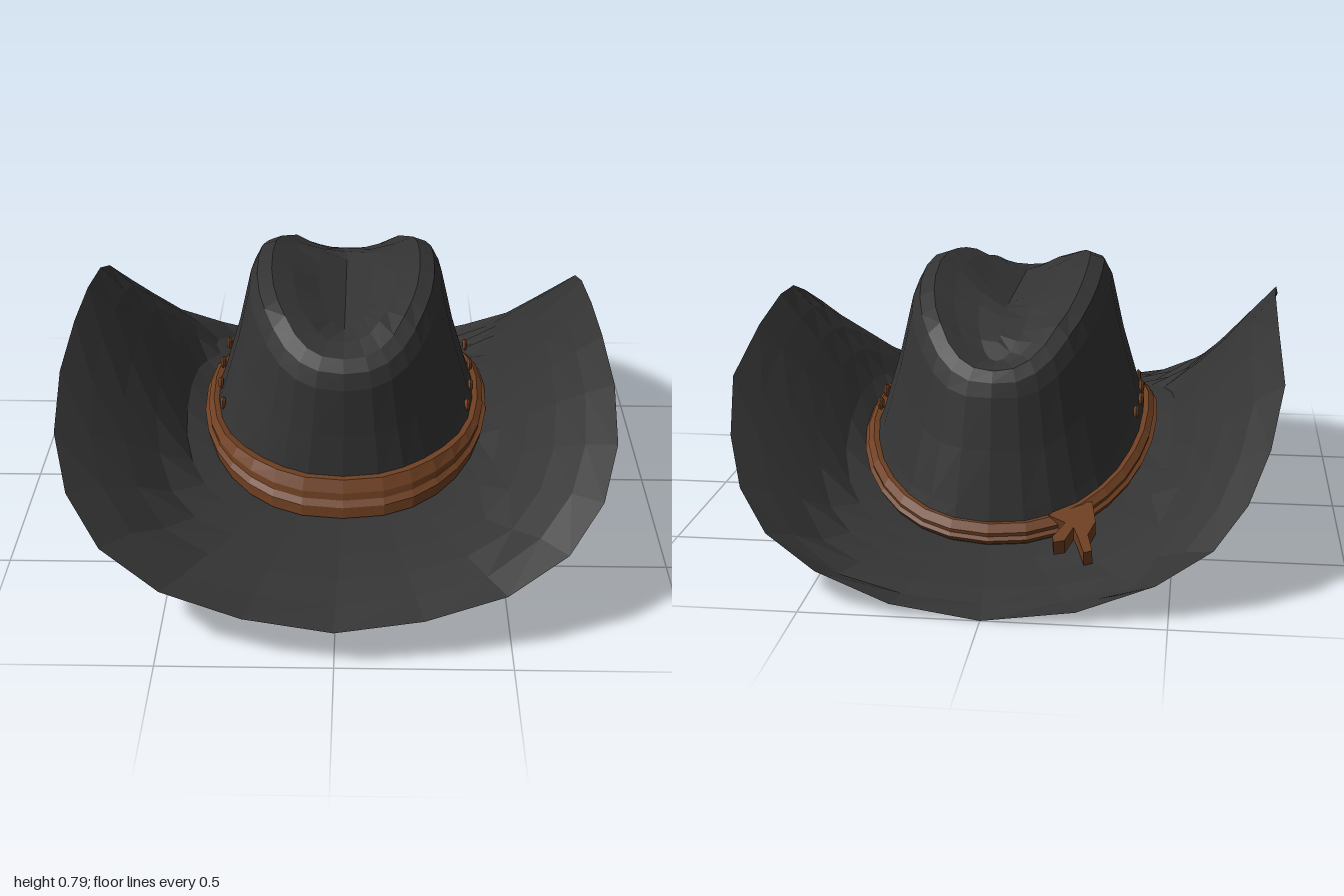
import * as THREE from 'three';

const N = 32; // points round every ring
const { lerp, smoothstep } = THREE.MathUtils;

// Piecewise-linear lookup; knots are [z, value] from front to back
function along(knots, z) {
  if (z >= knots[0][0]) return knots[0][1];
  for (let i = 1; i < knots.length; i++) {
    const [z0, y0] = knots[i - 1], [z1, y1] = knots[i];
    if (z >= z1) return lerp(y0, y1, (z - z0) / (z1 - z0));
  }
  return knots[knots.length - 1][1];
}

// Outer brim edge, front to back on the +x side: x, y, z
const EDGE = [
  [0, 0.12, 1], [0.25, 0.14, 0.97], [0.48, 0.19, 0.92], [0.65, 0.28, 0.85], [0.75, 0.39, 0.75],
  [0.8, 0.49, 0.6], [0.81, 0.575, 0.4], [0.795, 0.635, 0.2], [0.785, 0.65, 0], [0.787, 0.61, -0.25],
  [0.8, 0.515, -0.5], [0.76, 0.39, -0.68], [0.7, 0.28, -0.81], [0.61, 0.18, -0.89],
  [0.46, 0.1, -0.95], [0.25, 0.03, -0.985], [0, 0, -1],
];
const EDGE_X = EDGE.map(([x, , z]) => [z, x]);
const EDGE_Y = EDGE.map(([, y, z]) => [z, y]);
// Centre line of the underside and the ridge of the crown
const UNDER = [
  [1, 0.12], [0.93, 0.125], [0.55, 0.165], [0.25, 0.2], [0, 0.2],
  [-0.3, 0.16], [-0.55, 0.1], [-0.8, 0.03], [-0.95, 0.005], [-1, 0],
];
const RIDGE = [[0.49, 0.64], [0.3, 0.76], [0.1, 0.79], [-0.05, 0.79], [-0.25, 0.76], [-0.45, 0.68], [-0.6, 0.56]];
const THICK = 0.04;
const FOLD = 0.47; // where the sides of the brim start to curl up

const curl = (x, y) => (x < 0 ? y * (1 + 0.09 * y) : y); // right side rises a little higher
const ridgeY = (x, z) => along(RIDGE, z);

// Underside: shallow trough in the middle, straight rise from the fold to the edge
function underY(x, z) {
  const ax = Math.abs(x);
  const trough = along(UNDER, z) + 0.25 * Math.min(ax, FOLD) ** 2;
  if (ax <= FOLD) return trough;
  const t = Math.min(1, (ax - FOLD) / Math.max(0.01, along(EDGE_X, z) - FOLD));
  return lerp(trough, curl(x, along(EDGE_Y, z)), t);
}
const seatY = (x, z) => underY(x, z) + THICK;

// Oval from half width, front z and back z; starts at the front, towards +x
function ring(halfWidth, front, back, yFn) {
  const pts = [];
  for (let j = 0; j < N; j++) {
    const a = (j / N) * Math.PI * 2;
    const power = Math.cos(a) > 0 ? 0.8 : 0.86;
    const bend = (v) => Math.sign(v) * Math.pow(Math.abs(v), power);
    const x = 0.018 + halfWidth * bend(Math.sin(a));
    const z = (front + back) / 2 + ((front - back) / 2) * bend(Math.cos(a));
    pts.push(new THREE.Vector3(x, yFn(x, z), z));
  }
  return pts;
}

// Faceted skin over a stack of rings
function loft(rings) {
  const pos = [], idx = [];
  rings.forEach((r) => r.forEach((p) => pos.push(p.x, p.y, p.z)));
  for (let i = 0; i < rings.length - 1; i++) {
    for (let j = 0; j < N; j++) {
      const a = i * N + j, b = i * N + ((j + 1) % N);
      idx.push(a, b, b + N, a, b + N, a + N);
    }
  }
  const g = new THREE.BufferGeometry();
  g.setAttribute('position', new THREE.Float32BufferAttribute(pos, 3));
  g.setIndex(idx);
  return facet(g);
}

function facet(g) {
  const flat = g.toNonIndexed();
  flat.computeVertexNormals();
  return flat;
}

function brimGeometry() {
  const edge = EDGE.map((p) => new THREE.Vector3(...p));
  for (let i = EDGE.length - 2; i > 0; i--) {
    const [x, y, z] = EDGE[i];
    edge.push(new THREE.Vector3(-x - 0.005, curl(-x, y), z));
  }
  const seat = ring(0.43, 0.53, -0.7, underY);
  const between = (t, thick) => seat.map((p, j) => {
    const q = p.clone().lerp(edge[j], t);
    q.y = underY(q.x, q.z) + thick;
    return q;
  });
  const steps = [0, 0.2, 0.4, 0.6, 0.8];
  return loft([
    ring(0, 0.25, -0.45, underY),
    ring(0.25, 0.4, -0.58, underY),
    ...steps.map((t) => between(t, 0)),
    edge,
    ...steps.reverse().map((t) => between(t, THICK * (1 - t * t))),
  ]);
}

function crownGeometry() {
  const wall = (t) => (x, z) => lerp(seatY(x, z), ridgeY(x, z), t);
  const dent = (x, z) => Math.min(ridgeY(x, z) - 0.045, 0.69 + 0.4 * Math.abs(x - 0.018));
  return loft([
    ring(0.43, 0.52, -0.7, wall(0)),
    ring(0.393, 0.51, -0.68, wall(0.2)),
    ring(0.34, 0.495, -0.645, wall(0.55)),
    ring(0.3, 0.485, -0.618, wall(0.88)),
    ring(0.275, 0.47, -0.605, wall(0.97)),
    ring(0.23, 0.44, -0.58, wall(1)),
    ring(0.165, 0.37, -0.54, (x, z) => ridgeY(x, z) - 0.025),
    ring(0.085, 0.28, -0.51, dent),
    ring(0, 0.2, -0.48, dent),
  ]);
}

// Two-tier band, tall in front and narrow round the sides and back
function bandGeometry() {
  const above = (h) => (x, z) => seatY(x, z) + h * lerp(0.55, 1, smoothstep(z, 0.2, 0.5));
  return loft([
    ring(0.445, 0.57, -0.705, above(0.008)),
    ring(0.452, 0.565, -0.718, above(0.04)),
    ring(0.44, 0.55, -0.71, above(0.055)),
    ring(0.442, 0.545, -0.712, above(0.075)),
    ring(0.425, 0.525, -0.695, above(0.108)),
    ring(0.38, 0.49, -0.66, above(0.108)),
  ]);
}

// Forked lace lying on the back of the brim: x and z outline from the knot
const LACE = [
  [-0.27, 0.05], [-0.285, -0.04], [-0.268, -0.1], [-0.285, -0.17], [-0.262, -0.18], [-0.24, -0.11],
  [-0.225, -0.07], [-0.205, -0.13], [-0.175, -0.14], [-0.17, -0.115], [-0.2, -0.05], [-0.15, -0.02], [-0.19, 0.04],
];

function laceGeometry() {
  const shape = new THREE.Shape(LACE.map(([x, z]) => new THREE.Vector2(x, z)));
  const g = new THREE.ExtrudeGeometry(shape, { depth: 0.045, bevelEnabled: false });
  g.rotateX(Math.PI / 2 - 0.3); // lie flat, sloping down with the brim
  g.translate(0, 0.185, -0.64);
  return g;
}

export function createModel() {
  const hat = new THREE.Group();
  hat.name = 'hat';
  const felt = new THREE.MeshStandardMaterial({ color: 0x333333 });
  felt.name = 'charcoal felt';
  const leather = new THREE.MeshStandardMaterial({ color: 0x6e3f21 });
  leather.name = 'brown leather';

  const add = (name, geometry, material) => {
    const mesh = new THREE.Mesh(geometry, material);
    mesh.name = name;
    hat.add(mesh);
    return mesh;
  };

  add('brim', brimGeometry(), felt);
  add('crown', crownGeometry(), felt);
  add('hatBand', bandGeometry(), leather);
  add('forkedLace', laceGeometry(), leather);

  // Eyelets above the band on both sides, following the curve of the crown
  const eyelet = facet(new THREE.TorusGeometry(0.014, 0.008, 4, 8));
  for (const side of [1, -1]) {
    for (const z of [-0.25, -0.11, 0.03, 0.16]) {
      const m = add('eyelet', eyelet, leather);
      const reach = 0.403 - 0.35 * (z + 0.09) ** 2;
      m.position.set(0.018 + side * reach, 0.37, z);
      m.rotation.y = side * Math.PI / 2;
    }
  }
  return hat;
}
